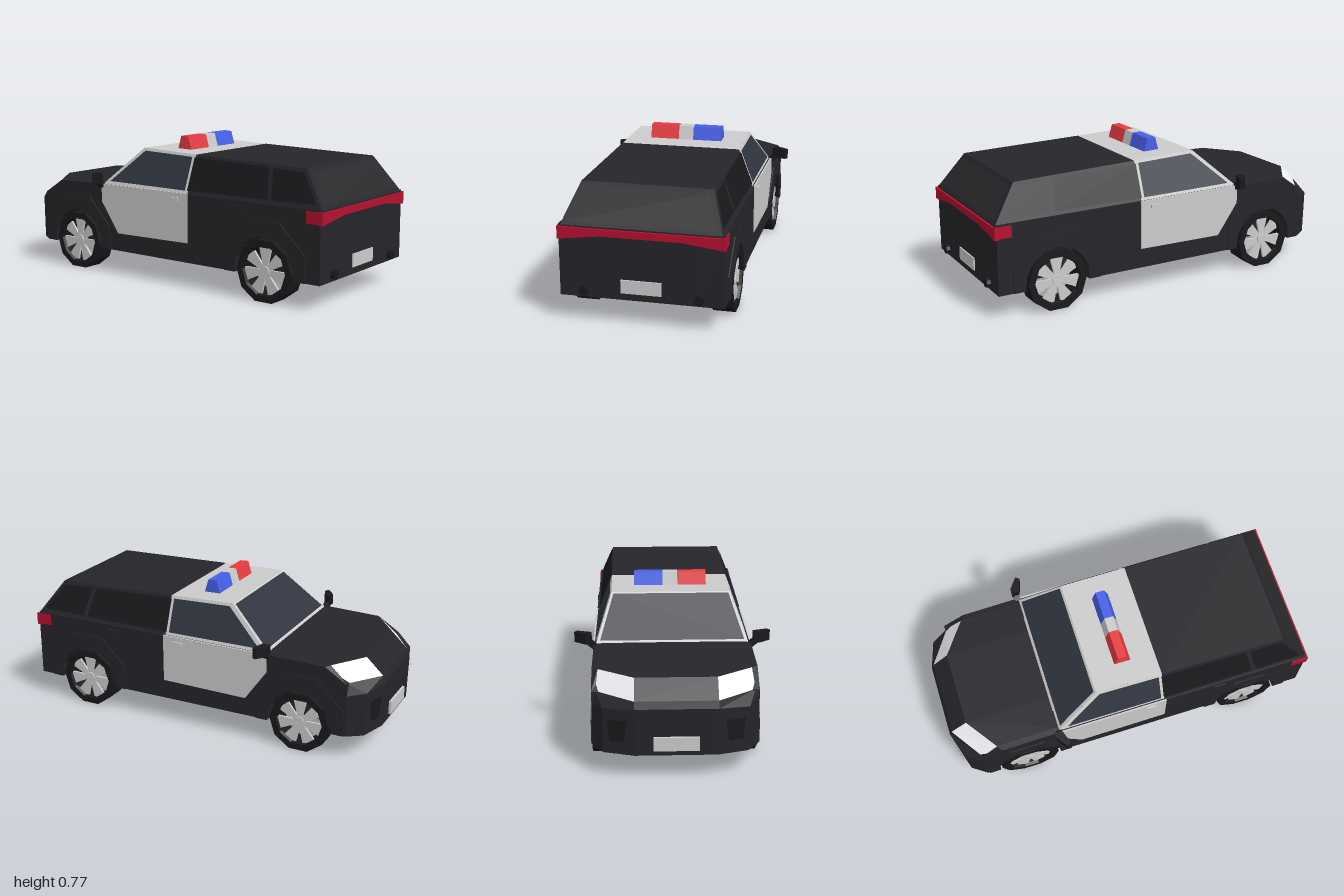
import * as THREE from 'three';

const BLACK = 0x25252a, DARK = 0x19191c, GREY = 0xcccccc, GLASS = 0x303540, RED = 0xb5102f;

export function createModel() {
  const car = new THREE.Group();
  car.name = 'patrolCar';

  const add = (name, color, geo, parent = car) => {
    const mat = new THREE.MeshStandardMaterial({ color, flatShading: true, side: THREE.DoubleSide });
    const mesh = new THREE.Mesh(geo, mat);
    mesh.name = name;
    parent.add(mesh);
    return mesh;
  };
  const shapeOf = pts => new THREE.Shape(pts.map(p => new THREE.Vector2(p[0], p[1])));
  const box = (name, color, w, h, d, x, y, z) =>
    add(name, color, new THREE.BoxGeometry(w, h, d).translate(x, y, z));

  // (z, y) outline extruded along x from xa to xb
  const slab = (name, color, pts, xa, xb) => add(name, color,
    new THREE.ExtrudeGeometry(shapeOf(pts), { depth: xb - xa, bevelEnabled: false })
      .rotateY(-Math.PI / 2).translate(xb, 0, 0));

  // flat convex polygons, each cut into a fan
  const panels = (name, color, polys) => {
    const pos = [];
    for (const p of polys)
      for (let i = 1; i < p.length - 1; i++) pos.push(...p[0], ...p[i], ...p[i + 1]);
    const geo = new THREE.BufferGeometry();
    geo.setAttribute('position', new THREE.Float32BufferAttribute(pos, 3));
    geo.computeVertexNormals();
    return add(name, color, geo);
  };

  const WY = 0.155, AXLES = [-0.61, 0.66];
  const arc = (cz, r, a0, a1, n = 8) => Array.from({ length: n + 1 }, (_, i) => {
    const a = a0 + (a1 - a0) * i / n;
    return [cz + r * Math.cos(a), WY + r * Math.sin(a)];
  });
  const archDip = -0.14;
  const arch = cz => arc(cz, 0.178, archDip, Math.PI - archDip).map(p => [p[0], Math.max(p[1], 0.13)]);

  // lower body: central tub and side walls with wheel cutouts
  slab('bodyTub', BLACK, [[0.98, 0.13], [0.98, 0.49], [-0.42, 0.485], [-0.74, 0.47], [-0.84, 0.38], [-0.86, 0.13]], -0.28, 0.28);
  const wall = [[0.98, 0.13], ...arch(AXLES[1]), ...arch(AXLES[0]), [-0.86, 0.13], [-0.86, 0.41], [-0.74, 0.485], [-0.42, 0.493], [0.98, 0.493]];
  const slabPair = (name, color, pts, x0, x1) => {
    slab(name + 'Left', color, pts, x0, x1);
    slab(name + 'Right', color, pts, -x1, -x0);
  };
  slabPair('bodySide', BLACK, wall, 0.28, 0.405);
  for (const cz of AXLES) {
    const flare = [[0.24, 0.13], [0.24, 0.26], [0.09, 0.41], [-0.09, 0.41], [-0.24, 0.26], [-0.24, 0.13]]
      .map(p => [p[0] + cz, p[1]]);
    slabPair('wheelArch', BLACK, [...flare, ...arch(cz).reverse()], 0.40, 0.411);
  }

  // hood and nose: columns of points from hood to floor
  const half = [
    [[0.2, 0.5, -0.425], [0.2, 0.49, -0.885], [0.2, 0.405, -0.975], [0.2, 0.37, -0.99], [0.2, 0.13, -0.985], [0.2, 0.13, -0.84]],
    [[0.375, 0.498, -0.425], [0.375, 0.487, -0.76], [0.385, 0.41, -0.85], [0.35, 0.36, -0.945], [0.35, 0.13, -0.94], [0.35, 0.13, -0.84]],
    [[0.405, 0.495, -0.425], [0.405, 0.485, -0.74], [0.405, 0.41, -0.86], [0.405, 0.35, -0.86], [0.405, 0.13, -0.86], [0.405, 0.13, -0.84]],
  ];
  const flip = p => [-p[0], p[1], p[2]];
  const cols = [...half.map(c => c.map(flip)).reverse(), ...half];
  const nose = [], lamps = [];
  for (let c = 0; c < 5; c++)
    for (let r = 0; r < 5; r++) {
      const quad = [cols[c][r], cols[c + 1][r], cols[c + 1][r + 1], cols[c][r + 1]];
      (r === 1 && (c === 1 || c === 3) ? lamps : nose).push(quad);
    }
  panels('hoodAndNose', BLACK, nose);
  panels('headlights', 0xf0f2f5, lamps);

  // corner air intakes
  const intake = [[0.235, 0.31, -0.987], [0.33, 0.31, -0.96], [0.32, 0.2, -0.962], [0.25, 0.2, -0.981]];
  panels('airIntakes', DARK, [intake, intake.map(flip)]);

  // cabin: sides lean inward with height
  const side = (s, pts, off = 0) => pts.map(([z, y]) => [s * (0.395 - (y - 0.49) * 0.38 + off), y, z]);
  const across = (y0, z0, x0, y1, z1, x1) => [[-x0, y0, z0], [x0, y0, z0], [x1, y1, z1], [-x1, y1, z1]];
  const both = (name, color, pts, off) => panels(name, color, [side(1, pts, off), side(-1, pts, off)]);
  both('frontPillars', GREY, [[0.17, 0.49], [0.17, 0.69], [-0.19, 0.70], [-0.425, 0.49]]);
  both('rearCabinSides', BLACK, [[0.17, 0.49], [0.17, 0.69], [0.85, 0.674], [0.982, 0.49]]);
  panels('windshieldFrame', GREY, [across(0.49, -0.425, 0.395, 0.70, -0.19, 0.315)]);
  panels('frontRoof', GREY, [across(0.70, -0.19, 0.315, 0.69, 0.17, 0.319)]);
  panels('rearRoof', BLACK, [across(0.69, 0.17, 0.319, 0.674, 0.85, 0.325)]);
  panels('tailgateFrame', BLACK, [across(0.49, 0.982, 0.395, 0.674, 0.85, 0.325)]);

  // windows
  panels('windshield', GLASS, [across(0.507, -0.411, 0.373, 0.695, -0.2, 0.305)]);
  panels('rearWindow', 0x29292c, [across(0.507, 0.975, 0.375, 0.657, 0.867, 0.305)]);
  both('frontSideWindows', GLASS, [[0.15, 0.677], [-0.175, 0.686], [-0.375, 0.51], [0.15, 0.508]], 0.004);
  both('rearSideWindows', DARK, [[0.165, 0.677], [0.635, 0.665], [0.665, 0.512], [0.165, 0.508]], 0.004);
  both('quarterWindows', DARK, [[0.66, 0.662], [0.84, 0.655], [0.945, 0.515], [0.69, 0.512]], 0.004);

  // doors, handles and mirrors
  slabPair('frontDoor', GREY, [[0.177, 0.235], [0.177, 0.494], [-0.425, 0.494], [-0.425, 0.395], [-0.306, 0.228]], 0.40, 0.409);
  for (const s of [1, -1]) {
    box('frontDoorHandle', GREY, 0.012, 0.018, 0.06, s * 0.411, 0.46, 0.09);
    box('rearDoorHandle', BLACK, 0.012, 0.018, 0.065, s * 0.407, 0.46, 0.485);
    const plan = [[0.415, 0.45], [0.445, 0.45], [0.505, 0.405], [0.49, 0.385], [0.415, 0.41]];
    add('mirror', DARK, new THREE.ExtrudeGeometry(shapeOf(plan.map(p => [s * p[0], p[1]])), { depth: 0.055, bevelEnabled: false })
      .rotateX(-Math.PI / 2).translate(0, 0.5, 0));
    const arm = [[0.385, 0.49], [0.405, 0.468], [0.45, 0.505], [0.415, 0.515]];
    add('mirrorArm', DARK, new THREE.ExtrudeGeometry(shapeOf(arm.map(p => [s * p[0], p[1]])), { depth: 0.03, bevelEnabled: false })
      .translate(0, 0, -0.44));
    // exhaust tips and wrapped tail lights
    add('exhaust', DARK, new THREE.CylinderGeometry(0.025, 0.025, 0.03, 8).rotateX(Math.PI / 2).translate(s * 0.285, 0.165, 0.985));
    box('tailLightSide', RED, 0.012, 0.06, 0.09, s * 0.404, 0.455, 0.947);
  }

  // tail light band and number plates
  const band = [[-0.41, 0.42], [-0.2, 0.447], [0.2, 0.447], [0.41, 0.42], [0.41, 0.482], [-0.41, 0.482]];
  add('tailLightBand', RED, new THREE.ExtrudeGeometry(shapeOf(band), { depth: 0.022, bevelEnabled: false }).translate(0, 0, 0.97));
  box('rearPlate', GREY, 0.2, 0.068, 0.01, 0, 0.2, 0.982);
  box('frontPlate', GREY, 0.22, 0.07, 0.014, 0, 0.193, -0.993);

  // roof light bar
  const bar = [[0.038, 0.69], [0.016, 0.763], [-0.032, 0.765], [-0.054, 0.69]];
  slab('redBeacon', 0xe83c42, bar, -0.195, -0.04);
  slab('beaconCentre', GREY, bar, -0.04, 0.04);
  slab('blueBeacon', 0x4560e8, bar, 0.04, 0.195);

  // wheels: hollow tyre with wedge spokes near the outer face
  const tyreProfile = [[0.128, -0.057], [0.163, -0.057], [0.163, 0.057], [0.128, 0.057], [0.122, 0.04], [0.122, -0.04], [0.128, -0.057]]
    .map(p => new THREE.Vector2(p[0], p[1]));
  const spoke = shapeOf([[-0.012, 0.02], [0.012, 0.02], [0.036, 0.12], [-0.036, 0.12]]);
  for (const s of [1, -1])
    for (const z of AXLES) {
      const wheel = new THREE.Group();
      wheel.name = 'wheel';
      wheel.position.set(s * 0.354, WY, z);
      wheel.rotation.y = s * Math.PI / 2;
      add('tyre', DARK, new THREE.LatheGeometry(tyreProfile, 10).rotateX(Math.PI / 2).rotateZ(Math.PI / 10), wheel);
      for (let i = 0; i < 7; i++)
        add('spoke', GREY, new THREE.ExtrudeGeometry(spoke, { depth: 0.012, bevelEnabled: false })
          .translate(0, 0, 0.03).rotateZ(i * Math.PI * 2 / 7), wheel);
      add('hub', GREY, new THREE.CylinderGeometry(0.027, 0.032, 0.03, 10).rotateX(Math.PI / 2).translate(0, 0, 0.032), wheel);
      car.add(wheel);
    }
  return car;
}
